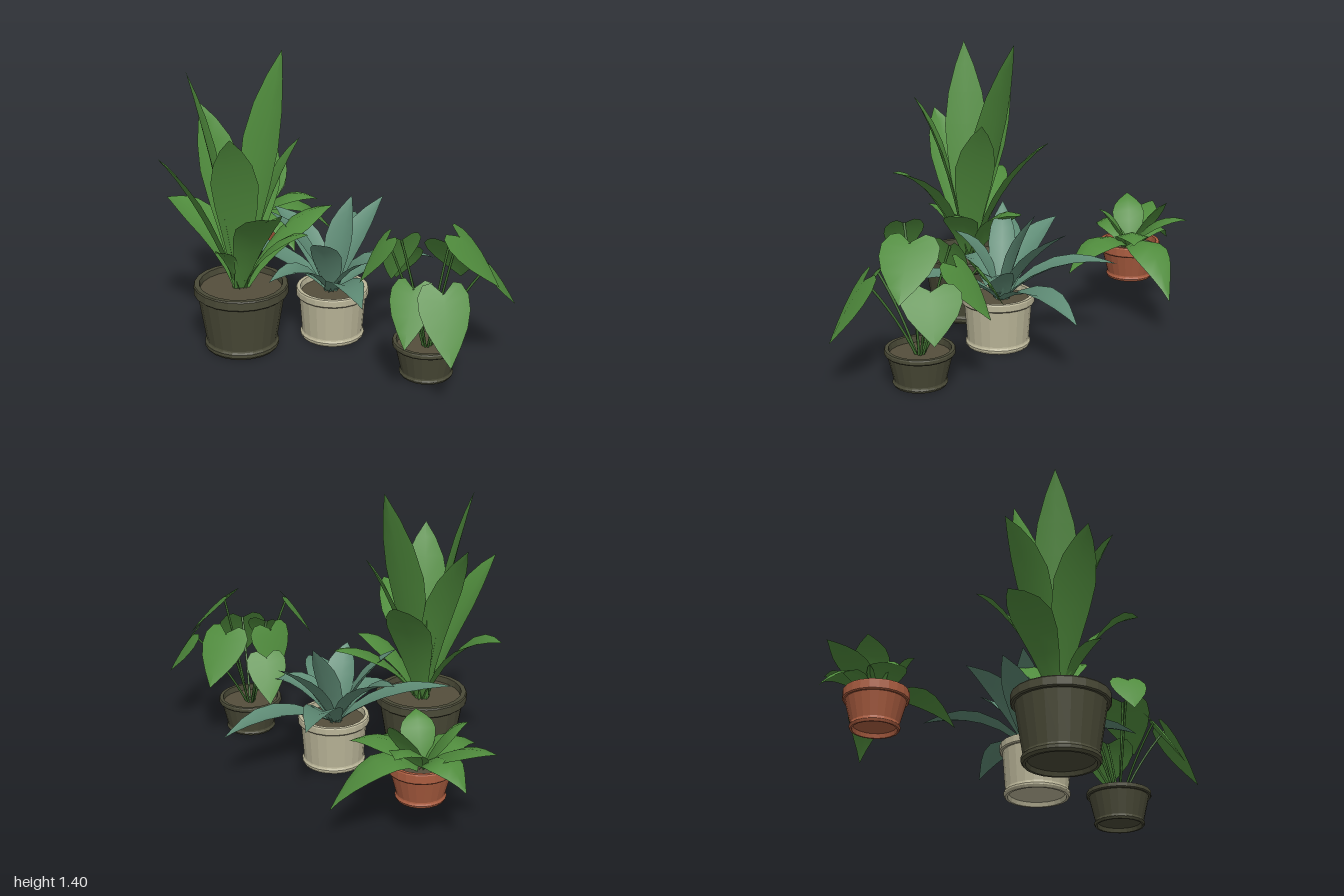
import * as THREE from 'three';

const mat = (name, color, side = THREE.FrontSide) => {
  const m = new THREE.MeshStandardMaterial({ color, side });
  m.name = name;
  return m;
};
const V = (p) => new THREE.Vector3(...p);

// Leaf outlines: rows of [position along midrib, position of the edge, half width]
const even = (rows) => rows.map(([t, half]) => [t, t, half]);
const BLADE = even([[0, .15], [.15, .22], [.3, .34], [.45, .45], [.6, .5], [.75, .4], [.88, .22], [1, 0]]);
const OVAL = even([[0, .22], [.15, .33], [.32, .46], [.5, .5], [.66, .43], [.8, .28], [.92, .11], [1, 0]]);
const HEART = [[0, -.2, .22], [.05, -.17, .38], [.14, .02, .5], [.3, .25, .5], [.52, .5, .41], [.76, .75, .23], [1, 1, 0]];

// Three-point cross-sections swept along a curve; fold lifts or drops the edges
function leafGeometry(curve, width, rows, fold) {
  const a = curve.getPoint(0), b = curve.getPoint(1);
  const side = new THREE.Vector3(b.z - a.z, 0, a.x - b.x).normalize();
  const pos = [], index = [];
  rows.forEach(([tc, te, half], i) => {
    const tan = curve.getPoint(tc + .02).sub(curve.getPoint(tc - .02)).normalize();
    const up = new THREE.Vector3().crossVectors(tan, side).normalize();
    const mid = curve.getPoint(tc), edge = curve.getPoint(te);
    edge.addScaledVector(up, fold * half * width);
    const l = edge.clone().addScaledVector(side, -half * width);
    const r = edge.clone().addScaledVector(side, half * width);
    pos.push(...l.toArray(), ...mid.toArray(), ...r.toArray());
    if (i) for (let j = 0; j < 2; j++) {
      const p = (i - 1) * 3 + j, q = p + 3;
      index.push(p, p + 1, q, p + 1, q + 1, q);
    }
  });
  const g = new THREE.BufferGeometry();
  g.setAttribute('position', new THREE.Float32BufferAttribute(pos, 3));
  g.setIndex(index);
  g.computeVertexNormals();
  return g;
}

export function createModel() {
  const root = new THREE.Group();
  root.name = 'pottedPlants';
  const darkClay = mat('dark olive clay', 0x4a4a37);
  const cream = mat('cream clay', 0xbab598);
  const terracotta = mat('terracotta', 0xab5d40);
  const soilMat = mat('soil', 0x544e3c);
  const green = mat('leaf green', 0x508c3d, THREE.DoubleSide);
  const blueGreen = mat('blue green leaf', 0x5f8c76, THREE.DoubleSide);
  const stemGreen = mat('stem green', 0x3f6e30);

  const add = (parent, name, geo, m) => {
    const mesh = new THREE.Mesh(geo, m);
    mesh.name = name;
    parent.add(mesh);
    return mesh;
  };

  // Flat-sided pot with a bevelled foot ring, a banded rim and soil inside
  function plant(name, [x, y, z], R, H, foot, rim, clay) {
    const g = new THREE.Group();
    g.name = name;
    root.add(g);
    const f = H * .11;
    const profile = [[0, .02], [foot * .84, .02], [foot * .88, 0], [foot * .95, 0], [foot, .012], [foot, f - .008],
      [foot * .96, f], [foot * .95, f + .006], [R * .92, H - rim], [R * .97, H - rim], [R, H - rim + .006], [R, H - .006],
      [R * .98, H], [R * .88, H], [R * .85, H - .06]].map((p) => new THREE.Vector2(...p));
    const geo = new THREE.LatheGeometry(profile, 22).toNonIndexed();
    geo.computeVertexNormals();
    add(g, 'pot', geo, clay).position.set(x, y, z);
    const soil = add(g, 'soil', new THREE.CircleGeometry(R * .88, 22), soilMat);
    soil.rotation.x = -Math.PI / 2;
    soil.position.set(x, y + H - .03, z);
    return g;
  }

  // Leaves growing from one base: [tip x, y, z, width, lift of the arch, reach of the arch, fold]
  function rosette(group, base, leaves, rows, m, usualFold) {
    const b = V(base);
    for (const [x, y, z, width, lift = 0, reach = .4, fold = usualFold] of leaves) {
      const tip = V([x, y, z]);
      const out = new THREE.Vector3(x - b.x, 0, z - b.z).normalize();
      const start = b.clone().addScaledVector(out, .012);
      const ctrl = start.clone().lerp(tip, reach);
      ctrl.y = start.y + (tip.y - start.y) * .55 + lift;
      add(group, 'leaf', leafGeometry(new THREE.QuadraticBezierCurve3(start, ctrl, tip), width, rows, fold), m);
    }
  }

  // Tall plant with upright blades
  const tall = plant('tallPlant', [-.36, 0, .035], .225, .325, .178, .05, darkClay);
  rosette(tall, [-.36, .28, .02], [
    [-.10, 1.40, -.10, .24, 0, .42],
    [-.57, 1.35, -.06, .21, 0, .4],
    [-.47, 1.12, .26, .22, .1, .35],
    [-.45, 1.13, -.26, .23, .1, .35],
    [-.08, 1.03, .08, .2, .08],
    [-.08, .91, -.28, .22, .1],
    [-.74, .99, .03, .2, .1, .5],
    [-.32, .79, .44, .22, .17, .42],
    [-.62, .67, -.30, .21, .17, .4],
    [.12, .63, -.02, .18, .2, .5, -.35],
    [-.09, .60, .22, .17, .15, .4, -.2],
    [-.52, .55, .17, .09, .1],
    [-.39, .58, .16, .07, .05],
    [-.27, .56, .14, .07, .05],
  ], BLADE, green, .2);

  // Blue-green rosette
  const agave = plant('spikyPlant', [.085, 0, .08], .175, .255, .155, .04, cream);
  rosette(agave, [.085, .22, .06], [
    [.67, .27, -.02, .15, .16, .5],
    [.39, .42, -.39, .16, .13],
    [.42, .61, -.10, .14, .04],
    [-.07, .54, -.32, .16, .09],
    [-.40, .46, -.25, .15, .07],
    [.04, .36, .57, .15, .13, .45],
    [.34, .40, .27, .17, .13],
    [-.05, .55, .24, .15, .07],
    [.23, .66, -.04, .15, .02],
    [-.25, .34, .12, .14, .14],
    [-.18, .62, -.08, .13, .05],
  ], OVAL, blueGreen, .35);

  // Small drooping plant on the raised pot
  const droopy = plant('droopingPlant', [-.03, .185, -.72], .15, .185, .115, .05, terracotta);
  rosette(droopy, [-.03, .34, -.72], [
    [.39, .18, -.69, .2, .28, .48],
    [.04, .27, -.33, .19, .22, .48],
    [-.26, .48, -1, .16, .09],
    [-.12, .32, -1, .18, .2, .48],
    [-.31, .38, -.69, .18, .17],
    [.18, .50, -.92, .17, .12],
    [.25, .44, -.57, .17, .13],
    [-.21, .56, -.81, .16, .08],
    [.16, .60, -.81, .16, .06],
    [-.07, .54, -.56, .16, .08],
  ], OVAL, green, -.28);

  // Heart-leaved plant: each leaf hangs from the top of its stem [notch, tip, width]
  const hearts = plant('heartLeafPlant', [.35, 0, .6], .16, .17, .125, .026, darkClay);
  const heartLeaves = [
    [[.35, .50, .31], [.37, .30, .19], .19],
    [[.29, .60, .42], [.27, .38, .36], .22],
    [[.50, .58, .49], [.62, .35, .38], .24],
    [[.15, .69, .58], [.03, .49, .56], .18],
    [[.62, .53, .66], [.74, .33, .70], .26],
    [[.31, .51, .84], [.28, .23, 1.0], .23],
    [[.21, .51, .74], [.12, .28, .86], .20],
    [[.45, .70, .68], [.60, .48, .80], .26],
  ];
  heartLeaves.forEach(([notch, tip, width]) => {
    const n = V(notch), t = V(tip);
    const out = new THREE.Vector3(n.x - .35, 0, n.z - .6).normalize();
    const base = V([.35, .13, .6]).addScaledVector(out, .015);
    const bend = base.clone().lerp(n, .4);
    bend.y += .06;
    const stem = new THREE.QuadraticBezierCurve3(base, bend, n);
    add(hearts, 'stem', new THREE.TubeGeometry(stem, 8, .006, 5), stemGreen);
    const arch = n.clone().lerp(t, .5);
    arch.y += .025;
    add(hearts, 'heartLeaf', leafGeometry(new THREE.QuadraticBezierCurve3(n, arch, t), width, HEART, -.15), green);
  });
  return root;
}
